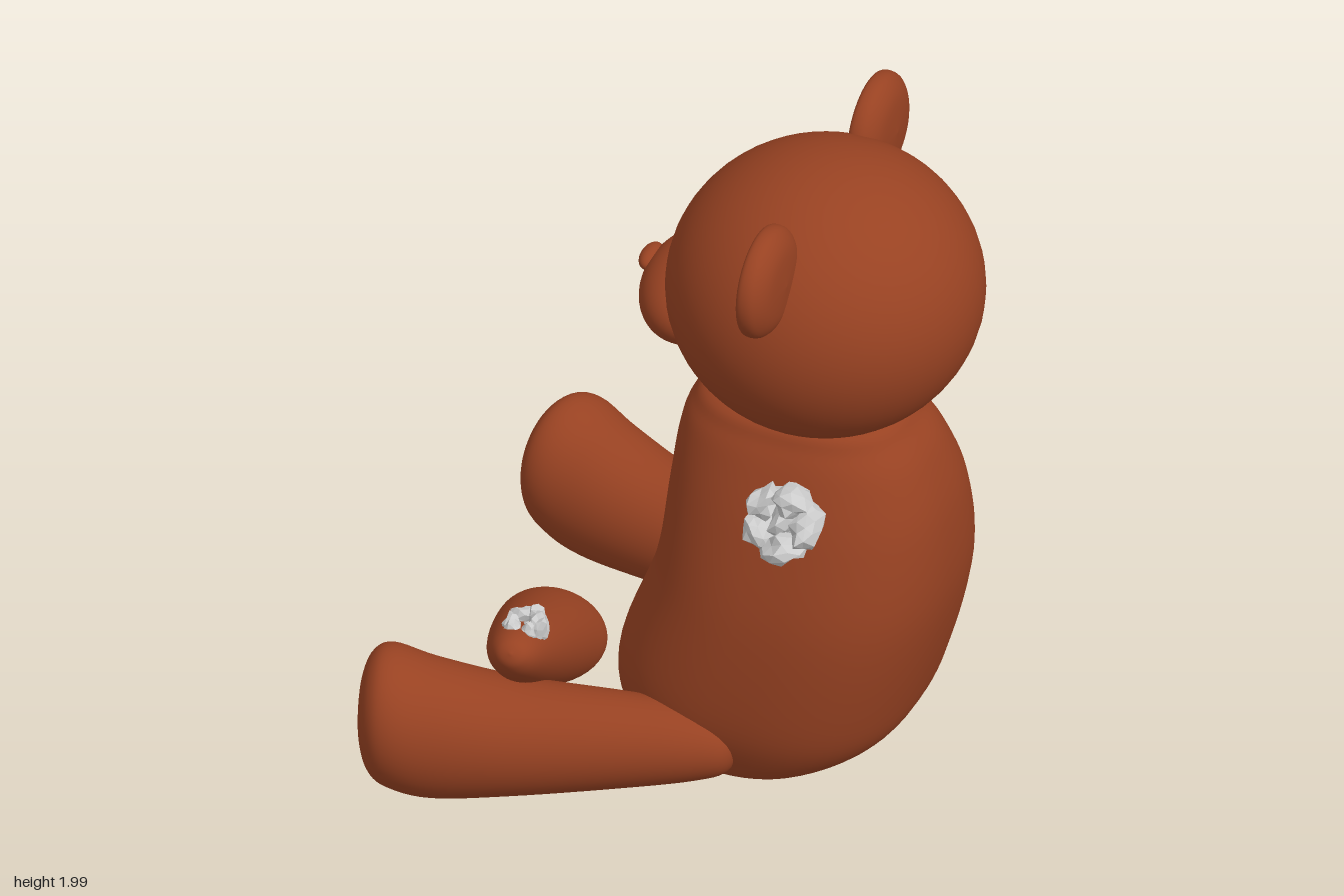
import * as THREE from 'three';
import { mergeVertices } from 'three/addons/utils/BufferGeometryUtils.js';

const V3 = (x, y, z) => new THREE.Vector3(x, y, z);
const fur = new THREE.MeshStandardMaterial({ color: 0x984222 });
const fluff = new THREE.MeshStandardMaterial({ color: 0xcccccc, flatShading: true });

function add(parent, name, geometry, material = fur) {
  const mesh = new THREE.Mesh(geometry, material);
  mesh.name = name;
  parent.add(mesh);
  return mesh;
}

// Catmull-Rom blend of one column of the section table
function blend(rows, k, i, t) {
  const at = (n) => rows[Math.min(Math.max(n, 0), rows.length - 1)][k];
  const p = at(i - 1), a = at(i), b = at(i + 1), q = at(i + 2);
  const m = (b - p) / 2, n = (q - a) / 2;
  return a + t * (m + t * (3 * (b - a) - 2 * m - n + t * (2 * (a - b) + m + n)));
}

// Smooth closed loft from a start point along an axis.
// Sections: [distance, offset U, offset V, radius U, radius V]
function loft(start, axis, hintV, sections, power = 2, sides = 48, steps = 6) {
  const T = axis.clone().normalize();
  const V = hintV.clone().addScaledVector(T, -hintV.dot(T)).normalize();
  const U = V.clone().cross(T);
  const rows = [];
  for (let i = 0; i < sections.length - 1; i++) {
    for (let j = 0; j < steps; j++) rows.push([0, 1, 2, 3, 4].map((k) => blend(sections, k, i, j / steps)));
  }
  rows.push(sections[sections.length - 1]);
  const pos = [], index = [];
  const bend = (v) => Math.sign(v) * Math.abs(v) ** (2 / power);
  rows.forEach(([s, ou, ov, ru, rv], i) => {
    for (let j = 0; j < sides; j++) {
      const a = (j / sides) * Math.PI * 2;
      const p = start.clone().addScaledVector(T, s)
        .addScaledVector(U, ou + Math.max(ru, 0) * bend(Math.cos(a)))
        .addScaledVector(V, ov + Math.max(rv, 0) * bend(Math.sin(a)));
      pos.push(p.x, p.y, p.z);
      if (i === rows.length - 1) continue;
      const n = i * sides + j, m = i * sides + ((j + 1) % sides);
      index.push(n, m, n + sides, m, m + sides, n + sides);
    }
  });
  const geo = new THREE.BufferGeometry();
  geo.setAttribute('position', new THREE.Float32BufferAttribute(pos, 3));
  geo.setIndex(index);
  const merged = mergeVertices(geo, 1e-5);
  merged.computeVertexNormals();
  return merged;
}

function ellipsoid(parent, name, center, radii) {
  const mesh = add(parent, name, new THREE.SphereGeometry(1, 48, 32));
  mesh.position.set(...center);
  mesh.scale.set(...radii);
  return mesh;
}

// Crumpled tuft: a ring of dented lumps opening out along a direction
function stuffing(parent, name, center, out, radius, count, seed) {
  const rand = () => (seed = (seed * 16807) % 2147483647) / 2147483647;
  const group = new THREE.Group();
  group.name = name;
  for (let i = 0; i <= count; i++) {
    const geo = mergeVertices(new THREE.IcosahedronGeometry(1, 1).deleteAttribute('normal').deleteAttribute('uv'));
    const p = geo.attributes.position;
    for (let k = 0; k < p.count; k++) {
      const f = 0.72 + 0.5 * rand();
      p.setXYZ(k, p.getX(k) * f, p.getY(k) * f, p.getZ(k) * f);
    }
    geo.computeVertexNormals();
    const lump = add(group, 'stuffingLump', geo, fluff);
    const a = (i / count) * Math.PI * 2, inner = i === count;
    const d = inner ? 0 : radius * 0.55;
    lump.position.set(Math.cos(a) * d, Math.sin(a) * d, inner ? -radius * 0.2 : radius * 0.35 * rand());
    lump.scale.set(radius * 0.34, radius * 0.5, radius * (0.5 + 0.2 * rand()));
    lump.rotation.set(0, 0, a);
  }
  group.quaternion.setFromUnitVectors(V3(0, 0, 1), out.normalize());
  group.position.copy(center);
  parent.add(group);
}

export function createModel() {
  const bear = new THREE.Group();
  bear.name = 'teddyBear';
  const up = V3(0, 1, 0), side = V3(1, 0, 0);

  // Torso: height, centre and half widths
  add(bear, 'torso', loft(V3(0, 0, 0), up, side, [
    [0.03, 0, 0.17, 0, 0],
    [0.037, 0, 0.17, 0.17, 0.15],
    [0.09, 0, 0.17, 0.335, 0.28],
    [0.2, 0, 0.205, 0.405, 0.395],
    [0.36, 0, 0.235, 0.435, 0.435],
    [0.65, 0, 0.317, 0.415, 0.418],
    [0.9, 0, 0.33, 0.35, 0.4],
    [1.07, 0, 0.315, 0.285, 0.365],
    [1.16, 0, 0.3, 0.24, 0.32],
    [1.22, 0, 0.3, 0.19, 0.25],
    [1.24, 0, 0.3, 0, 0],
  ], 2.5, 64));

  // Head, muzzle and nose
  ellipsoid(bear, 'head', [0.35, 1.57, 0], [0.44, 0.41, 0.44]);
  const muzzle = ellipsoid(bear, 'muzzle', [-0.03, 1.46, 0], [0.15, 0.13, 0.22]);
  muzzle.rotation.z = -0.25;
  ellipsoid(bear, 'nose', [-0.168, 1.52, 0], [0.03, 0.03, 0.055]);

  // Ears: flat in front, domed behind
  const earProfile = new THREE.SplineCurve([
    [0, 0.012], [0.1, 0.008], [0.145, 0], [0.16, 0.018], [0.15, 0.052], [0.1, 0.08], [0, 0.09],
  ].map(([r, y]) => new THREE.Vector2(r, y))).getPoints(36);
  earProfile.forEach((p) => { p.x = Math.max(p.x, 0); });
  for (const s of [1, -1]) {
    const ear = add(bear, s > 0 ? 'rightEar' : 'leftEar', new THREE.LatheGeometry(earProfile, 48));
    ear.rotation.z = -Math.PI / 2;
    ear.position.set(0.31, 1.84, s * 0.388);
  }

  // Legs: from the sole of the foot back to the hip
  const legSections = [
    [-0.03, 0, 0.26, 0, 0],
    [-0.022, 0, 0.26, 0.09, 0.1],
    [0.005, 0, 0.255, 0.155, 0.175],
    [0.06, 0, 0.245, 0.185, 0.208],
    [0.18, 0, 0.212, 0.182, 0.202],
    [0.4, 0, 0.2, 0.163, 0.168],
    [0.7, 0, 0.21, 0.132, 0.135],
    [0.9, 0, 0.218, 0.108, 0.107],
    [0.99, 0, 0.218, 0.075, 0.075],
    [1.025, 0, 0.218, 0, 0],
  ];
  for (const s of [1, -1]) {
    add(bear, s > 0 ? 'rightLeg' : 'leftLeg',
      loft(V3(-0.73, 0, s * 0.65), V3(0.956, 0, -s * 0.292), up, legSections));
  }

  // Arms: narrow shoulder to broad paw, one attached and one torn off
  const armSections = [
    [0, 0, 0, 0, 0],
    [0.02, 0, 0, 0.04, 0.045],
    [0.1, 0, 0, 0.075, 0.08],
    [0.3, 0, 0, 0.11, 0.115],
    [0.55, 0, 0, 0.132, 0.145],
    [0.7, 0, 0, 0.122, 0.152],
    [0.81, 0, 0, 0.08, 0.105],
    [0.855, 0, 0, 0, 0],
  ];
  const arm = (name, from, to) => add(bear, name, loft(from, to.sub(from), side, armSections));
  arm('leftArm', V3(0.4, 1.14, -0.28), V3(0.2, 0.41, -0.7));
  arm('tornArm', V3(-0.32, 0.55, 0.63), V3(-0.47, 0.11, -0.09));

  // Stuffing spilling from the empty shoulder and the torn arm
  stuffing(bear, 'shoulderStuffing', V3(0.37, 1.01, 0.34), V3(0, 0.3, 1), 0.13, 5, 17);
  stuffing(bear, 'armStuffing', V3(-0.33, 0.535, 0.495), V3(0, 1, 0.1), 0.072, 6, 91);

  return bear;
}
